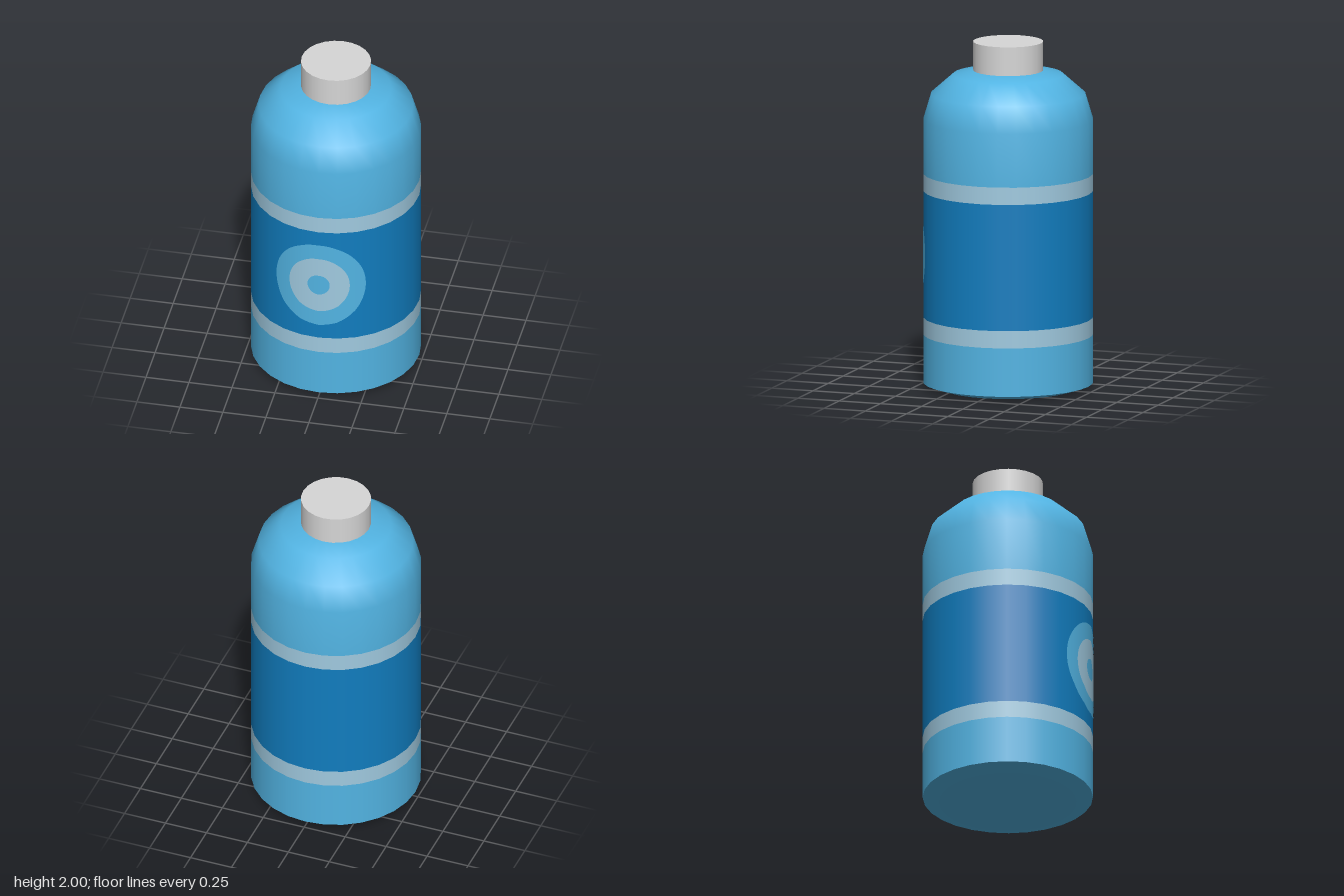
import * as THREE from 'three';

const SIDES = 28, R = 0.485;

function material(name, color) {
  const m = new THREE.MeshStandardMaterial({ color });
  m.name = name;
  return m;
}

export function createModel() {
  const lightBlue = material('light blue', 0x52b4e3);
  const deepBlue = material('deep blue', 0x117dbf);
  const paleBlue = material('pale blue grey', 0xa0cae0);
  const capGrey = material('cap grey', 0xd6d6d6);

  const group = new THREE.Group();
  group.name = 'bottle';

  const add = (name, geometry, mat) => {
    const mesh = new THREE.Mesh(geometry, mat);
    mesh.name = name;
    group.add(mesh);
    return mesh;
  };
  const lathe = (name, profile, mat) =>
    add(name, new THREE.LatheGeometry(profile.map(([r, y]) => new THREE.Vector2(r, y)), SIDES), mat);

  // Bottle body, stacked from the base up
  lathe('base', [[0, 0], [0.39, 0]], lightBlue);
  lathe('baseChamfer', [[0.39, 0], [R, 0.03]], lightBlue);
  lathe('lowerBody', [[R, 0.03], [R, 0.31]], lightBlue);
  lathe('lowerBand', [[R, 0.31], [R, 0.41]], paleBlue);
  lathe('label', [[R, 0.41], [R, 1.14]], deepBlue);
  lathe('upperBand', [[R, 1.14], [R, 1.24]], paleBlue);
  lathe('shoulder', [[R, 1.24], [R, 1.55], [0.44, 1.7], [0.315, 1.81], [0.17, 1.84], [0, 1.84]], lightBlue);

  // Cap
  add('cap', new THREE.CylinderGeometry(0.2, 0.2, 0.17, 24), capGrey).position.y = 1.915;

  // Round emblem: flat rings wrapped onto the faceted front of the label
  const step = (Math.PI * 2) / SIDES;
  const wrappedRing = (inner, outer) => {
    const g = new THREE.RingGeometry(inner, outer, 64, 8);
    const p = g.attributes.position, n = g.attributes.normal;
    for (let i = 0; i < p.count; i++) {
      const a = p.getX(i) / R;
      const fromMid = a - (Math.floor(a / step) + 0.5) * step;
      const r = (R * Math.cos(step / 2)) / Math.cos(fromMid) + 0.002;
      p.setXYZ(i, r * Math.sin(a), p.getY(i) + 0.775, r * Math.cos(a));
      n.setXYZ(i, Math.sin(a), 0, Math.cos(a));
    }
    return g;
  };
  add('emblemOuterRing', wrappedRing(0.18, 0.275), lightBlue);
  add('emblemMiddleRing', wrappedRing(0.065, 0.18), paleBlue);
  add('emblemCentre', wrappedRing(0, 0.065), lightBlue);

  return group;
}
